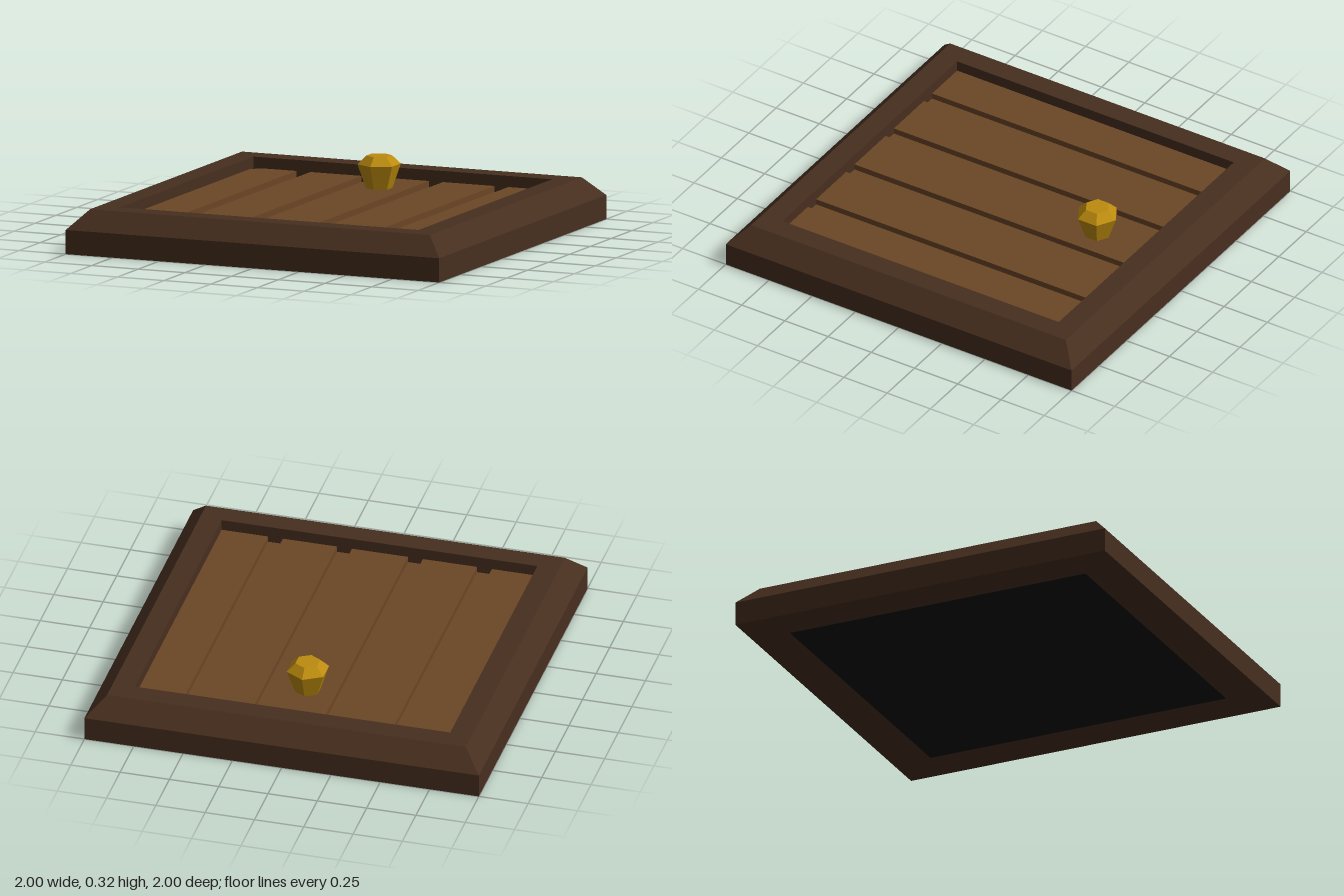
import * as THREE from 'three';

const paint = (color) => new THREE.MeshStandardMaterial({ color, flatShading: true });

// Board lying flat between x0 and x1; cutL / cutR clip its two back corners.
function board(x0, x1, bottom, top, cutL, cutR, material) {
  const s = new THREE.Shape(); // shape y points to the back (-z)
  s.moveTo(x0, -0.8);
  s.lineTo(x1, -0.8);
  s.lineTo(x1, 0.8 - cutR);
  if (cutR) s.lineTo(x1 - cutR, 0.8);
  s.lineTo(x0 + cutL, 0.8);
  if (cutL) s.lineTo(x0, 0.8 - cutL);
  s.closePath();
  const g = new THREE.ExtrudeGeometry(s, { depth: top - bottom, bevelEnabled: false });
  g.rotateX(-Math.PI / 2);
  g.translate(0, bottom, 0);
  return new THREE.Mesh(g, material);
}

export function createModel() {
  const model = new THREE.Group();
  const frameWood = paint(0x472f1f);
  const plankWood = paint(0x6b4626);
  const add = (mesh, name) => {
    mesh.name = name;
    model.add(mesh);
    return mesh;
  };

  // Square frame: a bevelled section swept round four mitred corners
  const section = [[0.8, 0], [1, 0], [1, 0.12], [0.91, 0.215], [0.8, 0.215], [0.8, 0]];
  const profile = section.map(([r, y]) => new THREE.Vector2(r * Math.SQRT2, y));
  add(new THREE.Mesh(new THREE.LatheGeometry(profile, 4, Math.PI / 4), frameWood), 'frame');

  // Dark plate closing the underside
  const plate = add(new THREE.Mesh(new THREE.BoxGeometry(1.6, 0.02, 1.6), paint(0x0d0d0d)), 'bottomPlate');
  plate.position.y = 0.01;

  // Recessed panel: a groove floor with five planks on it
  const cut = 0.045;
  add(board(-0.8, 0.8, 0.03, 0.13, cut, cut, plankWood), 'grooveFloor');
  const planks = [[-0.8, -0.57], [-0.495, -0.22], [-0.145, 0.14], [0.215, 0.49], [0.565, 0.8]];
  planks.forEach(([a, b], i) => {
    add(board(a, b, 0.13, 0.16, i === 0 ? cut : 0, i === 4 ? cut : 0, plankWood), 'plank' + (i + 1));
  });

  // Six-sided faceted knob
  const knobProfile = [[0, 0.16], [0.065, 0.16], [0.107, 0.28], [0.063, 0.322], [0, 0.322]]
    .map(([r, y]) => new THREE.Vector2(r, y));
  const knob = add(new THREE.Mesh(new THREE.LatheGeometry(knobProfile, 6), paint(0xbd8c0f)), 'knob');
  knob.position.z = -0.517;

  return model;
}
